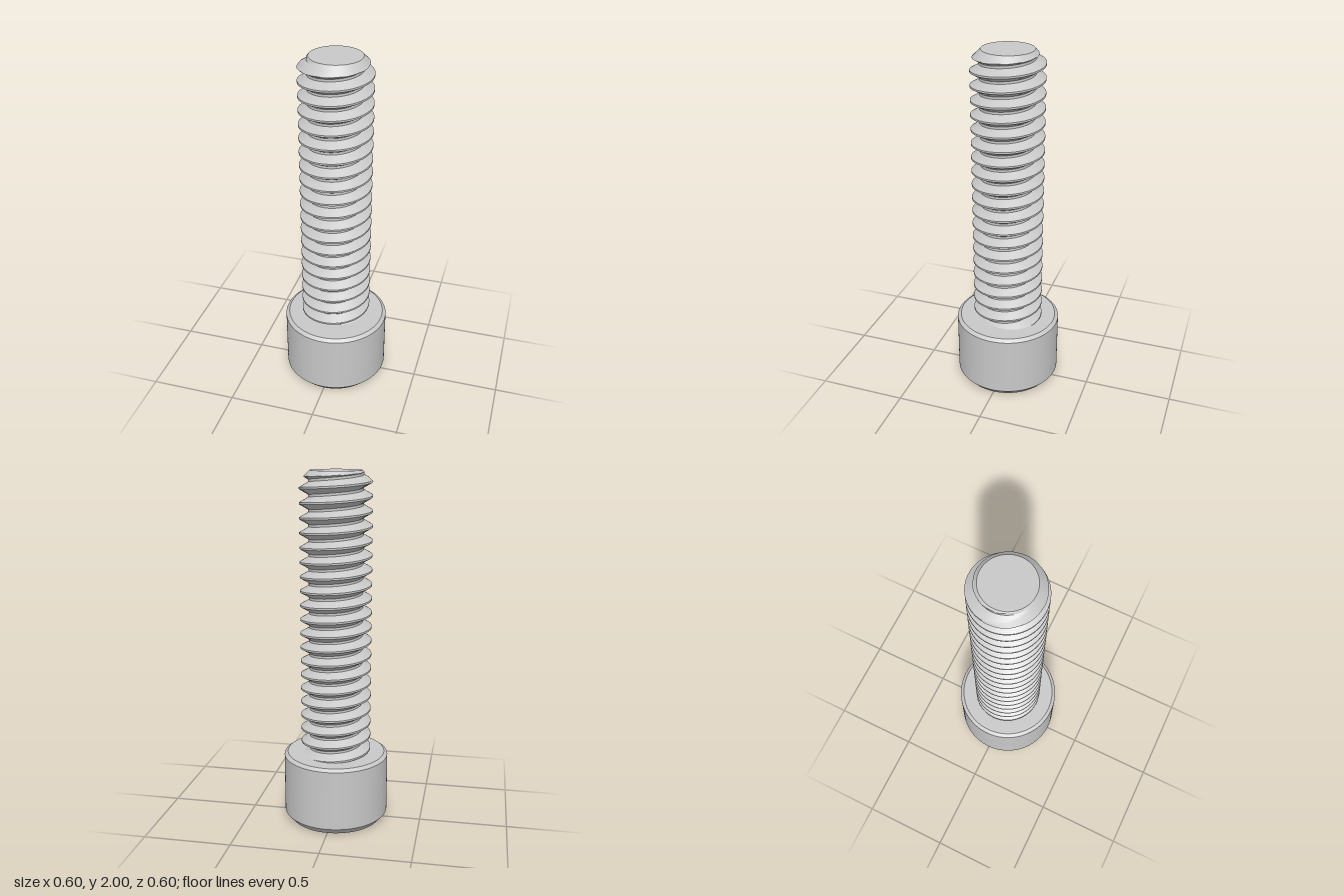
import * as THREE from 'three';
import { toCreasedNormals } from 'three/addons/utils/BufferGeometryUtils.js';

const SEGMENTS = 96;

// Skin of rings around the y axis; each ring is a rule angle -> [radius, height].
function ringSurface(rings, crease) {
  const positions = [];
  const a = new THREE.Vector3(), b = new THREE.Vector3();
  const point = (i, ring) => {
    const t = (i / SEGMENTS) * Math.PI * 2;
    const [r, y] = ring(t);
    return new THREE.Vector3(r * Math.cos(t), y, -r * Math.sin(t));
  };
  const triangle = (p, q, s) => {
    const area = a.subVectors(q, p).cross(b.subVectors(s, p)).length();
    if (area > 1e-9) positions.push(...p.toArray(), ...q.toArray(), ...s.toArray());
  };
  for (let j = 0; j < rings.length - 1; j++) {
    for (let i = 0; i < SEGMENTS; i++) {
      const p = point(i, rings[j]), q = point(i + 1, rings[j]);
      const r = point(i + 1, rings[j + 1]), s = point(i, rings[j + 1]);
      triangle(p, q, r);
      triangle(p, r, s);
    }
  }
  const geometry = new THREE.BufferGeometry();
  geometry.setAttribute('position', new THREE.Float32BufferAttribute(positions, 3));
  return toCreasedNormals(geometry, crease);
}

const circle = (r, y) => () => [r, y];

// Head with a hexagonal socket opening downward
function headGeometry() {
  const apothem = 0.15, mouth = 0.174, sixth = Math.PI / 3;
  const hexRadius = (t) => apothem / Math.cos((t % sixth) - sixth / 2);
  return ringSurface([
    circle(0, 0.2),
    (t) => [hexRadius(t), 0.2],                              // socket floor edge
    (t) => [hexRadius(t), (mouth - hexRadius(t)) * 0.6],     // countersunk rim
    circle(mouth, 0),
    circle(0.265, 0),
    circle(0.3, 0.04),                                       // lower chamfer
    circle(0.3, 0.385),
    circle(0.28, 0.4),                                       // upper chamfer
    circle(0.13, 0.4),
  ], 0.4);
}

// Right-handed 60 degree thread with a chamfered tip
function shankGeometry() {
  const pitch = 0.08, crest = 0.2, root = 0.151, bottom = 0.4, top = 2, tip = 0.142;
  const crestFlat = pitch / 16, rootFlat = pitch / 12;       // half widths
  const crestHeight = (t) => 1.942 + pitch * (t / (2 * Math.PI) - 0.5);
  const radiusAt = (y, t) => {
    const turns = (y - crestHeight(t)) / pitch;
    const d = Math.abs(turns - Math.round(turns)) * pitch;   // distance to the nearest crest
    const k = (d - crestFlat) / (pitch / 2 - rootFlat - crestFlat);
    const thread = crest + (root - crest) * THREE.MathUtils.clamp(k, 0, 1);
    return Math.min(thread, tip + top - y);
  };
  // Offsets within one turn, with finer flanks near the chamfer
  const offsets = (steps) => {
    const list = [];
    const from = crestFlat, to = pitch / 2 - rootFlat;
    for (let s = 0; s <= steps; s++) list.push(from + ((to - from) * s) / steps);
    return [...list, ...list.map((o) => pitch - o).reverse()];
  };
  const rings = [];
  for (let turn = -21; turn <= 1; turn++) {
    for (const offset of offsets(turn >= -1 ? 10 : 2)) {
      rings.push((t) => {
        const y = THREE.MathUtils.clamp(crestHeight(t) + turn * pitch + offset, bottom, top);
        return [radiusAt(y, t), y];
      });
    }
  }
  rings.push(circle(tip, top), circle(0, top));              // flat end
  return ringSurface(rings, 0.4);
}

export function createModel() {
  const steel = new THREE.MeshStandardMaterial({ color: 0xc8c8c8 });
  steel.name = 'steel';
  const model = new THREE.Group();
  model.name = 'socketHeadScrew';
  const add = (name, geometry) => {
    const mesh = new THREE.Mesh(geometry, steel);
    mesh.name = name;
    model.add(mesh);
  };
  add('head', headGeometry());
  add('threadedShank', shankGeometry());
  return model;
}
